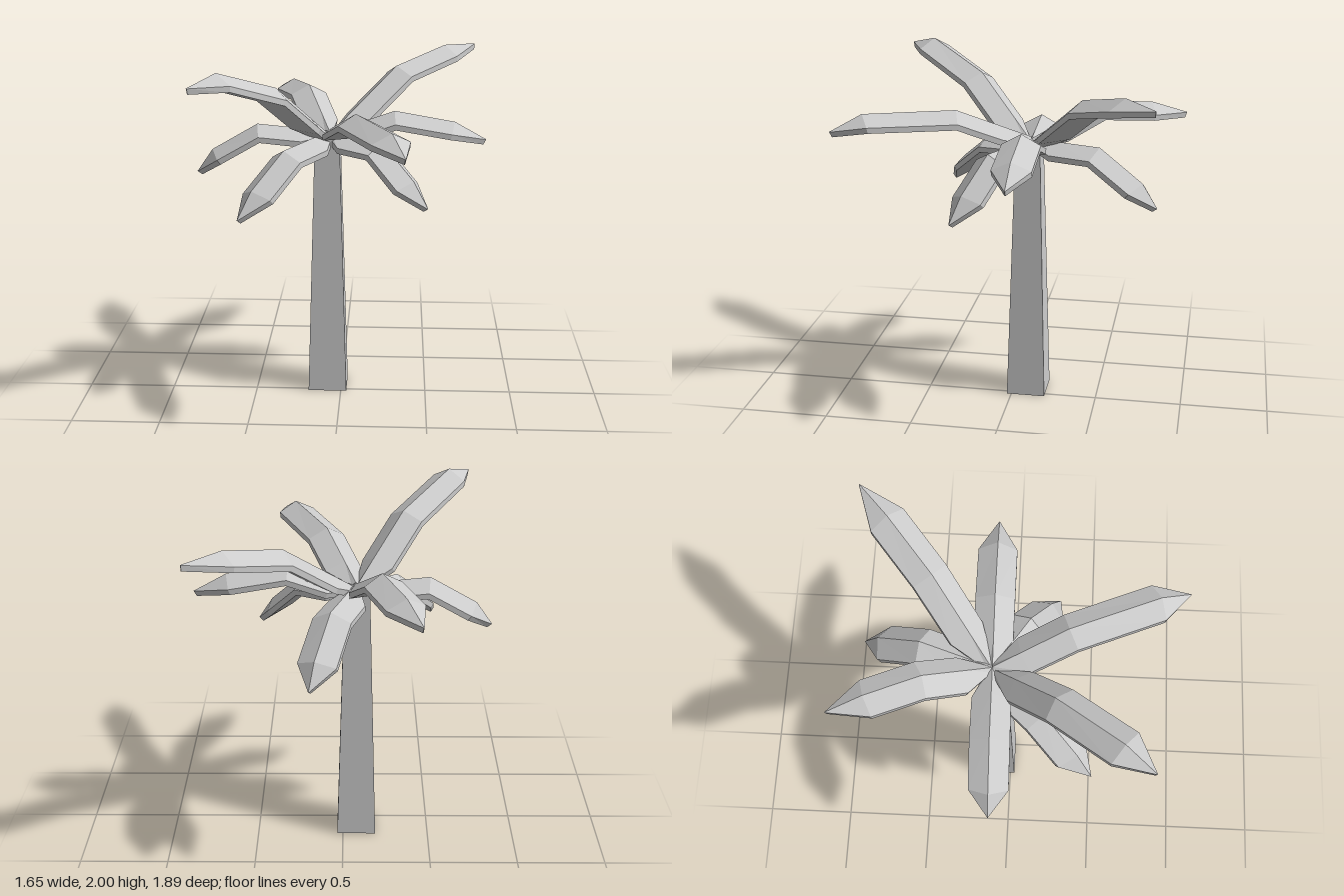
import * as THREE from 'three';

const material = new THREE.MeshStandardMaterial({ color: 0xcccccc, flatShading: true });
const CROWN_X = -0.07, CROWN_Z = -0.1;

// Each frond: tip x and z, then ridge line as [distance from crown, height] for root, bend, end and tip
const FRONDS = [
  { tip: [0.82, -0.105], ridge: [[0, 1.54], [0.37, 1.67], [0.71, 1.61], [0.89, 1.51]] },
  { tip: [-0.83, -0.09], ridge: [[0, 1.55], [0.41, 1.59], [0.67, 1.44], [0.76, 1.31]] },
  { tip: [0.78, -0.84], ridge: [[0, 1.53], [0.5, 1.87], [0.88, 1.955], [1.127, 1.94]] },
  { tip: [-0.4, -0.95], ridge: [[0, 1.55], [0.38, 1.75], [0.7, 1.73], [0.91, 1.66]] },
  { tip: [0.17, -0.83], ridge: [[0, 1.55], [0.42, 1.55], [0.68, 1.38], [0.77, 1.25]] },
  { tip: [0.36, 0.95], ridge: [[0, 1.56], [0.43, 1.735], [0.95, 1.74], [1.13, 1.65]] },
  { tip: [-0.74, 0.74], ridge: [[0, 1.53], [0.43, 1.86], [0.87, 2.0], [1.074, 1.95]] },
  { tip: [-0.54, 0.46], ridge: [[0, 1.55], [0.37, 1.5], [0.62, 1.32], [0.73, 1.18]] },
  { tip: [0.49, 0.26], ridge: [[0, 1.55], [0.36, 1.53], [0.57, 1.34], [0.666, 1.2]] },
];

// Roofed strip with a flat underside; runs along +x, swept through five-point sections
function frondGeometry(ridge) {
  const [root, bend, end, tip] = ridge.map(([r, y]) => new THREE.Vector2(r, y));
  const stations = [root, root.clone().lerp(bend, 0.37), bend, end, tip];
  const halfWidths = [0.02, 0.105, 0.107, 0.107, 0.002];
  const drops = [0.02, 0.055, 0.058, 0.055, 0.002];
  const thickness = 0.032;

  const rings = stations.map((p, i) => {
    const before = stations[Math.max(i - 1, 0)];
    const after = stations[Math.min(i + 1, stations.length - 1)];
    const a = p.clone().sub(before).normalize();
    const t = after.clone().sub(p).normalize().add(a).normalize();
    const w = halfWidths[i], d = drops[i], e = d + thickness;
    // [sideways, below the ridge]
    return [[0, 0], [w, d], [w, e], [-w, e], [-w, d]].map(([z, down]) =>
      new THREE.Vector3(p.x + t.y * down, p.y - t.x * down, z));
  });

  const pos = [];
  const tri = (a, b, c) => [a, b, c].forEach((v) => pos.push(v.x, v.y, v.z));
  for (let i = 0; i < rings.length - 1; i++) {
    for (let j = 0; j < 5; j++) {
      const k = (j + 1) % 5;
      tri(rings[i][j], rings[i][k], rings[i + 1][k]);
      tri(rings[i][j], rings[i + 1][k], rings[i + 1][j]);
    }
  }
  // End caps
  const first = rings[0], last = rings[rings.length - 1];
  for (let j = 1; j < 4; j++) {
    tri(first[0], first[j + 1], first[j]);
    tri(last[0], last[j], last[j + 1]);
  }
  const geometry = new THREE.BufferGeometry();
  geometry.setAttribute('position', new THREE.Float32BufferAttribute(pos, 3));
  geometry.computeVertexNormals();
  return geometry;
}

export function createModel() {
  const model = new THREE.Group();
  model.name = 'palmTree';

  // Square tapering trunk
  const trunkHeight = 1.52;
  const trunkGeometry = new THREE.CylinderGeometry(0.07 * Math.SQRT2, 0.112 * Math.SQRT2, trunkHeight, 4);
  trunkGeometry.rotateY(Math.PI / 4);
  const trunk = new THREE.Mesh(trunkGeometry, material);
  trunk.name = 'trunk';
  trunk.position.set(-0.079, trunkHeight / 2, -0.086);
  model.add(trunk);

  // Fronds fanning out from the top of the trunk
  const crown = new THREE.Group();
  crown.name = 'crown';
  crown.position.set(CROWN_X, 0, CROWN_Z);
  FRONDS.forEach(({ tip, ridge }, i) => {
    const frond = new THREE.Mesh(frondGeometry(ridge), material);
    frond.name = `frond${i + 1}`;
    frond.rotation.y = -Math.atan2(tip[1] - CROWN_Z, tip[0] - CROWN_X);
    crown.add(frond);
  });
  model.add(crown);
  return model;
}
